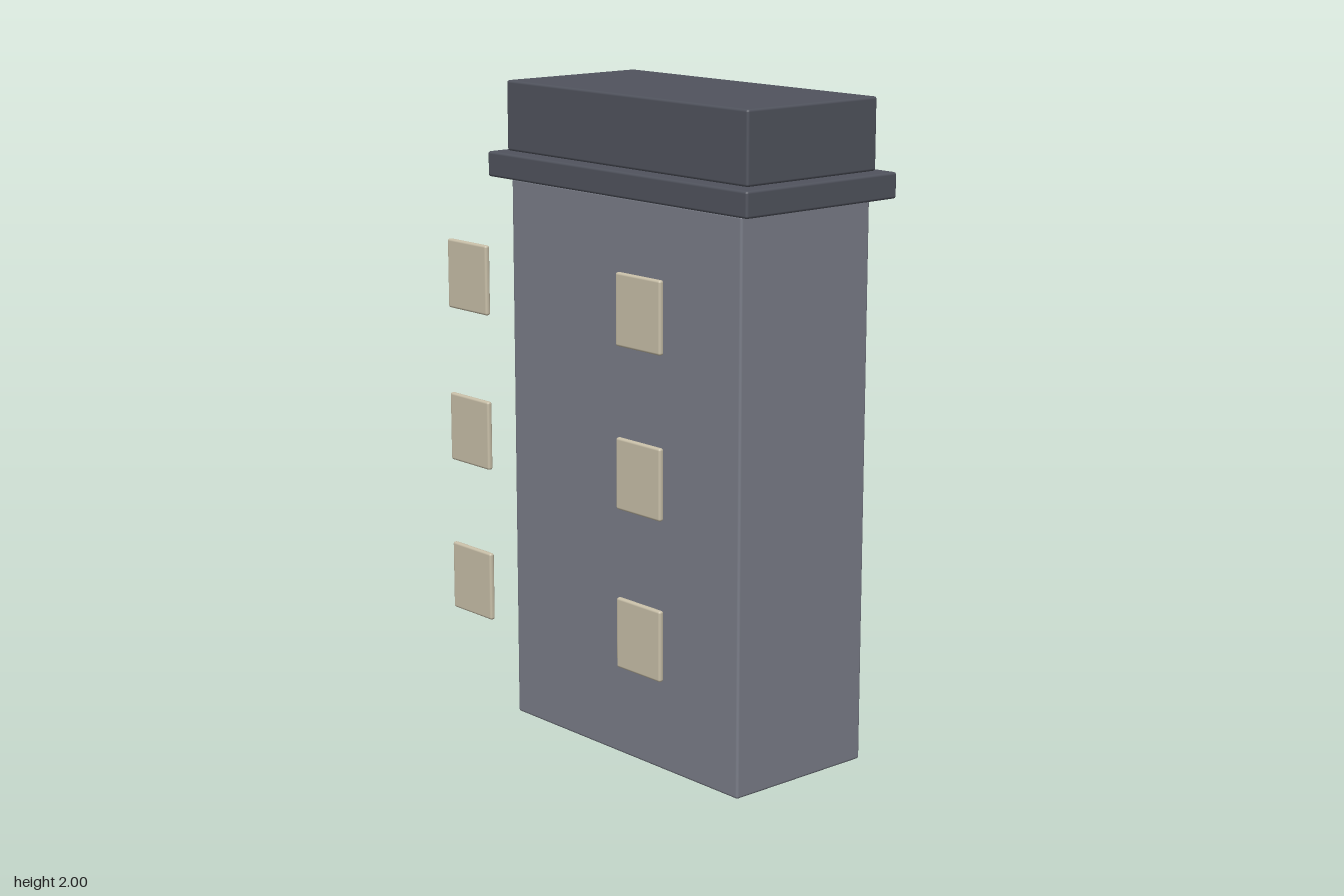
import * as THREE from 'three';
import { RoundedBoxGeometry } from 'three/addons/geometries/RoundedBoxGeometry.js';

const material = (name, color) => {
  const m = new THREE.MeshStandardMaterial({ color });
  m.name = name;
  return m;
};

export function createModel() {
  const model = new THREE.Group();
  model.name = 'towerBlock';

  const wall = material('wallGrey', 0x7a7d88);
  const roof = material('roofSlate', 0x50535d);
  const pane = material('windowBeige', 0xc8bfa8);

  // Softly edged box centred on x, given its lower and upper y and back and front z
  const block = (name, mat, width, y0, y1, z0, z1, radius, x = 0) => {
    const mesh = new THREE.Mesh(new RoundedBoxGeometry(width, y1 - y0, z1 - z0, 2, radius), mat);
    mesh.name = name;
    mesh.position.set(x, (y0 + y1) / 2, (z0 + z1) / 2);
    model.add(mesh);
  };

  // Main volume, cornice and roof block
  block('body', wall, 1.016, 0, 1.705, -0.368, 0.139, 0.008);
  block('cornice', roof, 1.144, 1.708, 1.785, -0.411, 0.18, 0.008);
  block('roofBlock', roof, 1.058, 1.787, 2, -0.369, 0.138, 0.008);

  // Three rows of window panels standing clear of the front wall
  for (const y of [0.515, 0.982, 1.45]) {
    for (const side of [-1, 1]) {
      block(side > 0 ? 'windowLeft' : 'windowRight', pane,
        0.186, y - 0.104, y + 0.104, 0.394, 0.411, 0.007, side * 0.383);
    }
  }
  return model;
}
